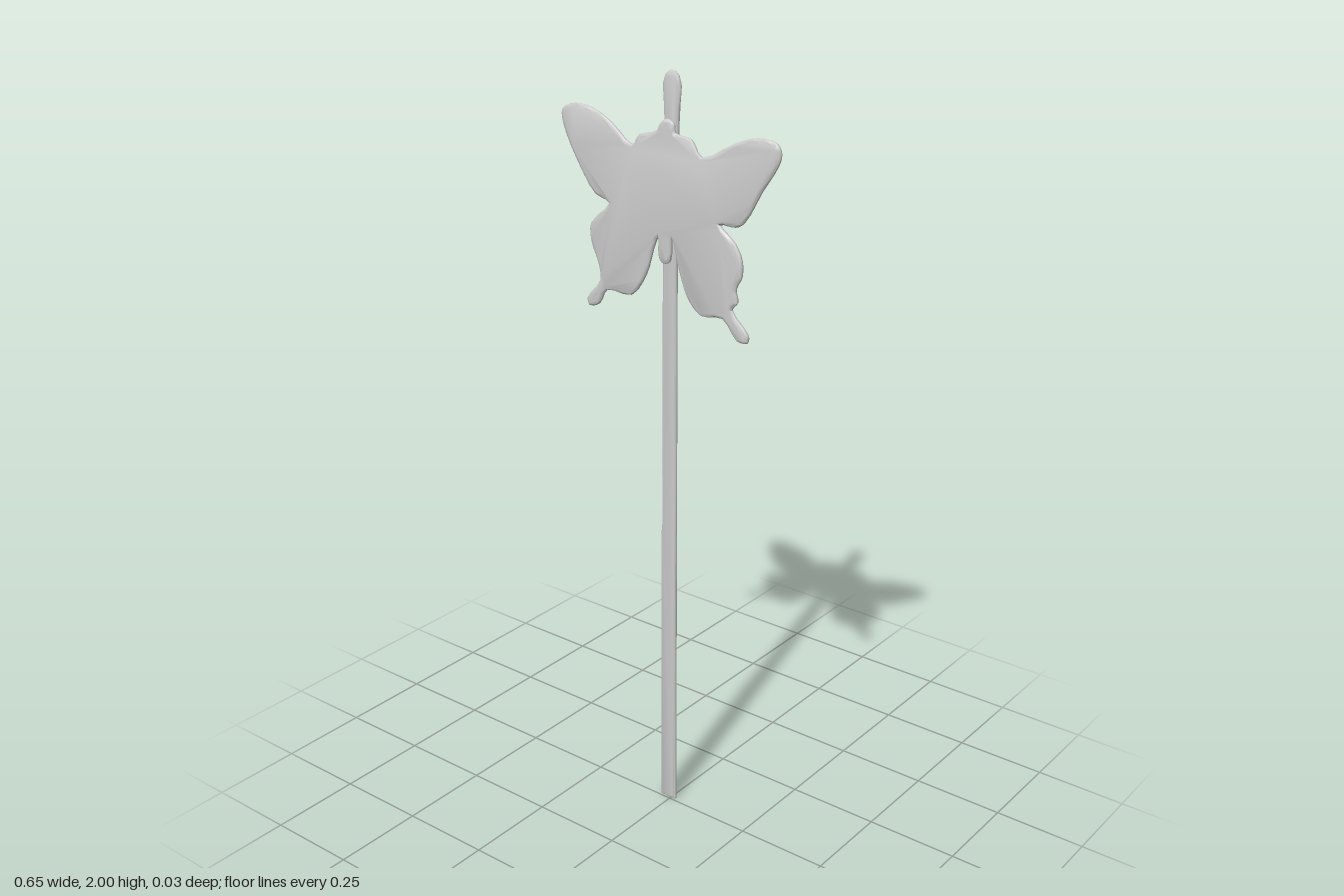
import * as THREE from 'three';
import { toCreasedNormals } from 'three/addons/utils/BufferGeometryUtils.js';

// Thin plate with a softly bevelled rim, centred on depth z
function plate(name, points, z, thickness, bevel, segments) {
  const half = thickness / 2 - 0.0005;
  const geometry = new THREE.ExtrudeGeometry(new THREE.Shape(points), {
    depth: 0.001, bevelThickness: half, bevelSize: bevel, bevelOffset: -bevel, bevelSegments: segments,
  });
  geometry.translate(0, 0, z - 0.0005);
  const mesh = new THREE.Mesh(toCreasedNormals(geometry, 0.7), new THREE.MeshStandardMaterial({ color: 0xcccccc }));
  mesh.name = name;
  return mesh;
}

const toPoints = (list) => list.map(([x, y]) => new THREE.Vector3(x, y, 0));
const flat = (points) => points.map((p) => new THREE.Vector2(p.x, p.y));

// Butterfly outline, clockwise from the head
const outline = [
  [0, 1.889], [0.02, 1.878], [0.024, 1.858], [0.07, 1.85], [0.1, 1.812],
  // left upper wing
  [0.194, 1.857], [0.258, 1.878], [0.311, 1.873], [0.324, 1.85], [0.316, 1.82],
  [0.274, 1.756], [0.226, 1.676], [0.2, 1.661], [0.157, 1.66],
  // left lower wing and tail
  [0.2, 1.623], [0.22, 1.586], [0.221, 1.544], [0.205, 1.512], [0.21, 1.48], [0.194, 1.459],
  [0.242, 1.406], [0.24, 1.386], [0.21, 1.386], [0.168, 1.432], [0.104, 1.427],
  [0.062, 1.464], [0.035, 1.533], [0.014, 1.607],
  // body tip
  [0.008, 1.545], [-0.015, 1.537], [-0.027, 1.555], [-0.028, 1.6],
  // right lower wing and tail
  [-0.044, 1.565], [-0.065, 1.501], [-0.113, 1.438], [-0.192, 1.436], [-0.218, 1.395],
  [-0.25, 1.385], [-0.256, 1.406], [-0.213, 1.459], [-0.218, 1.501], [-0.24, 1.554],
  [-0.24, 1.602], [-0.181, 1.66],
  // right upper wing
  [-0.224, 1.676], [-0.277, 1.745], [-0.324, 1.836], [-0.326, 1.873], [-0.287, 1.891],
  [-0.234, 1.887], [-0.176, 1.862], [-0.107, 1.814], [-0.086, 1.841], [-0.033, 1.857], [-0.02, 1.878],
];

// Stick edges: [y, left edge, right edge], leaning slightly, with a swollen rounded top
const stickRows = [
  [0, -0.034, 0.015], [0.8, -0.033, 0.015], [0.83, -0.03, 0.015], [1.5, -0.027, 0.016],
  [1.87, -0.021, 0.02], [1.92, -0.023, 0.023], [1.965, -0.026, 0.027], [1.988, -0.019, 0.02], [1.998, -0.009, 0.01],
];

export function createModel() {
  const group = new THREE.Group();
  group.name = 'butterflyOnStick';

  const curve = new THREE.CatmullRomCurve3(toPoints(outline), true, 'centripetal');
  const samples = Array.from({ length: outline.length * 3 }, (_, i) => curve.getPoint(i / (outline.length * 3)));
  group.add(plate('butterfly', flat(samples), 0.007, 0.014, 0.009, 3));

  const left = stickRows.map(([y, l]) => new THREE.Vector2(l, y));
  const right = stickRows.map(([y, , r]) => new THREE.Vector2(r, y)).reverse();
  group.add(plate('stick', [...left, new THREE.Vector2(0, 2), ...right], -0.0095, 0.013, 0.008, 3));
  return group;
}
